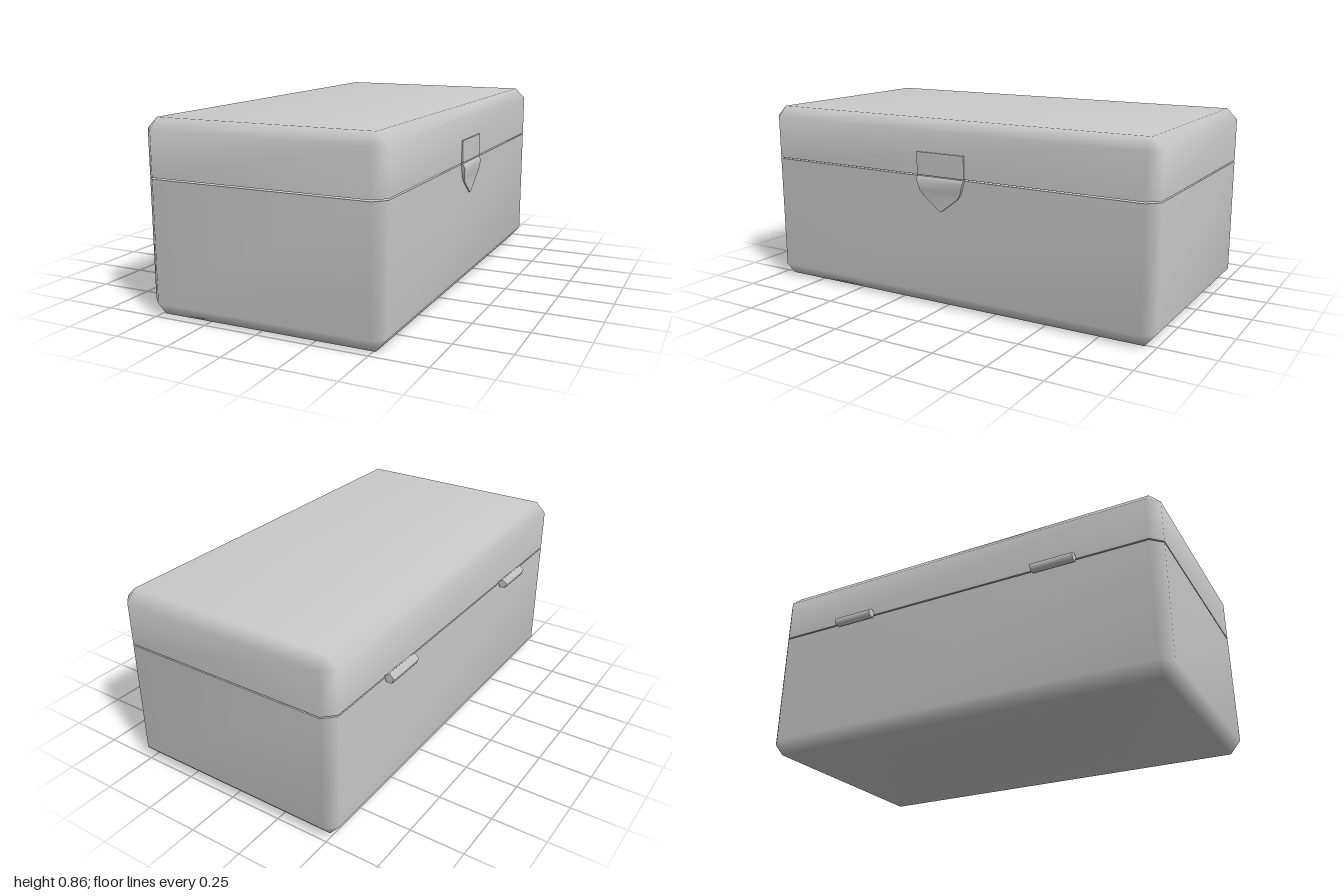
import * as THREE from 'three';
import { mergeVertices } from 'three/addons/utils/BufferGeometryUtils.js';

const X0 = -0.535, X1 = 0.56, Z = 1, C = 0.05; // case walls and bevel size

// Outline with bevelled corners; a flat end ring shrinks to a plain rectangle
function ring(y, end) {
  const pts = [];
  [[1, 1], [-1, 1], [-1, -1], [1, -1]].forEach(([sx, sz], i) => {
    const x = sx > 0 ? X1 : X0;
    const ix = x - sx * C, iz = sz * (Z - C);
    const a = [end ? ix : x, y, iz];
    const b = [ix, y, end ? iz : sz * Z];
    pts.push(...(i % 2 ? [b, a] : [a, b]));
  });
  return pts;
}

function smooth(tris) {
  let g = new THREE.BufferGeometry();
  g.setAttribute('position', new THREE.Float32BufferAttribute(tris.flat(), 3));
  g = mergeVertices(g);
  g.computeVertexNormals();
  return g;
}

// Triangles closing a ring, facing up or down
function cap(r, up) {
  const mid = [(X0 + X1) / 2, r[0][1], 0];
  return r.flatMap((p, i) => {
    const n = r[(i + 1) % r.length];
    return up ? [mid, n, p] : [mid, p, n];
  });
}

// Walls between rings listed from bottom to top
function walls(rings) {
  const tris = [];
  for (let k = 0; k < rings.length - 1; k++) {
    const lo = rings[k], hi = rings[k + 1];
    lo.forEach((p, i) => {
      const j = (i + 1) % lo.length;
      tris.push(p, hi[i], lo[j], lo[j], hi[i], hi[j]);
    });
  }
  return tris;
}

export function createModel() {
  const model = new THREE.Group();
  model.name = 'case';
  const mat = new THREE.MeshStandardMaterial({ color: 0xcccccc });
  const add = (name, geo, parent = model) => {
    const m = new THREE.Mesh(geo, mat);
    m.name = name;
    parent.add(m);
    return m;
  };

  // Bottom tray and lid, separated by a narrow seam
  const base = [ring(0, true), ring(0.06), ring(0.601)];
  add('base', smooth([...walls(base), ...cap(base[0], false)]));
  add('baseRim', smooth(cap(base[2], true)));

  const lid = [ring(0.607), ring(0.805), ring(0.855, true)];
  add('lid', smooth([...walls(lid), ...cap(lid[2], true)]));
  add('lidRim', smooth(cap(lid[0], false)));

  // Five-sided hinge barrels along the -x edge
  for (const side of [1, -1]) {
    const geo = new THREE.CylinderGeometry(0.0235, 0.0235, 0.2, 5);
    geo.rotateX(Math.PI / 2);
    geo.rotateZ(Math.PI); // one corner points up
    const p = geo.attributes.position;
    let top = -1;
    for (let i = 0; i < p.count; i++) top = Math.max(top, p.getY(i));
    if (top < 0.023) geo.rotateZ(Math.PI);
    const hinge = add(side > 0 ? 'frontHinge' : 'backHinge', geo);
    hinge.position.set(-0.557, 0.606, side * 0.525);
  }

  // Latch: plate on the lid, tapered tongue on the base
  const latch = new THREE.Group();
  latch.name = 'latch';
  model.add(latch);
  const plate = add('latchPlate', new THREE.BoxGeometry(0.016, 0.103, 0.246), latch);
  plate.position.set(0.558, 0.6585, 0);

  // Rows of the tongue: height, half width, outer x
  const rows = [[0.603, 0.123, 0.566], [0.585, 0.12, 0.576], [0.54, 0.107, 0.571],
    [0.515, 0.09, 0.566], [0.45, 0.004, 0.566]];
  const tongue = new THREE.BoxGeometry(1, 1, 1, 1, rows.length - 1, 1);
  const pos = tongue.attributes.position;
  for (let i = 0; i < pos.count; i++) {
    const [y, w, x] = rows[Math.round((0.5 - pos.getY(i)) * (rows.length - 1))];
    pos.setXYZ(i, pos.getX(i) > 0 ? x : 0.55, y, Math.sign(pos.getZ(i)) * w);
  }
  tongue.computeVertexNormals();
  add('latchTongue', tongue, latch);

  return model;
}
